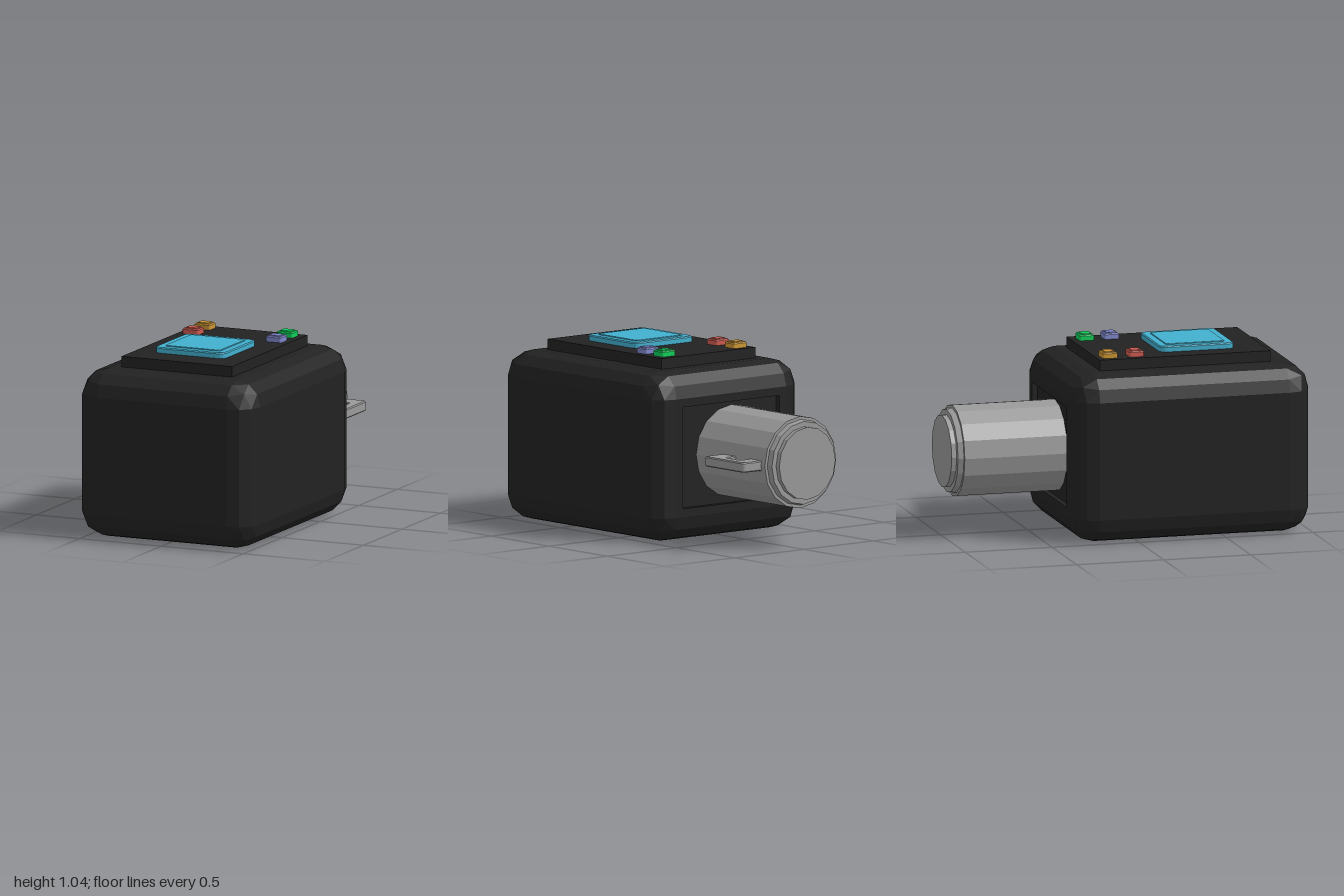
import * as THREE from 'three';
import { ConvexGeometry } from 'three/addons/geometries/ConvexGeometry.js';

const paint = (name, color) => {
  const m = new THREE.MeshStandardMaterial({ color });
  m.name = name;
  return m;
};

function rectPath(Type, x0, x1, y0, y1, r = 0) {
  const s = new Type();
  if (!r) {
    s.moveTo(x0, y0).lineTo(x1, y0).lineTo(x1, y1).lineTo(x0, y1).closePath();
    return s;
  }
  s.moveTo(x0 + r, y0).lineTo(x1 - r, y0).quadraticCurveTo(x1, y0, x1, y0 + r);
  s.lineTo(x1, y1 - r).quadraticCurveTo(x1, y1, x1 - r, y1);
  s.lineTo(x0 + r, y1).quadraticCurveTo(x0, y1, x0, y1 - r);
  s.lineTo(x0, y0 + r).quadraticCurveTo(x0, y0, x0 + r, y0);
  return s;
}

// Flat-faceted geometry
function faceted(geometry) {
  const g = geometry.index ? geometry.toNonIndexed() : geometry;
  g.computeVertexNormals();
  return g;
}

// Horizontal plate: outline drawn in x and -z, from y0 to y1, with a small bevel
function slab(shape, y0, y1, bevel) {
  const g = new THREE.ExtrudeGeometry(shape, {
    depth: y1 - y0 - 2 * bevel, bevelThickness: bevel, bevelSize: bevel,
    bevelOffset: -bevel, bevelSegments: 1, curveSegments: 4,
  });
  return g.rotateX(-Math.PI / 2).translate(0, y0 + bevel, 0);
}

// Box hull with three-segment rounded edges
function roundedHull(w, h, d, r) {
  const points = [];
  const part = (n) => Math.sin((n * Math.PI) / 6);
  for (const sx of [-1, 1]) for (const sy of [-1, 1]) for (const sz of [-1, 1])
    for (let i = 0; i <= 3; i++) for (let j = 0; j <= 3 - i; j++) {
      const n = new THREE.Vector3(part(i), part(j), part(3 - i - j)).setLength(r);
      points.push(new THREE.Vector3(
        sx * (w / 2 - r + n.x), sy * (h / 2 - r + n.y), sz * (d / 2 - r + n.z)));
    }
  return new ConvexGeometry(points);
}

// Drop the triangles lying on the plane z = z0
function openBack(geometry, z0) {
  const p = geometry.attributes.position;
  const kept = [];
  for (let i = 0; i < p.count; i += 3) {
    if ([0, 1, 2].every((k) => Math.abs(p.getZ(i + k) - z0) < 1e-4)) continue;
    for (let k = 0; k < 3; k++) kept.push(p.getX(i + k), p.getY(i + k), p.getZ(i + k));
  }
  const g = new THREE.BufferGeometry();
  g.setAttribute('position', new THREE.Float32BufferAttribute(kept, 3));
  g.computeVertexNormals();
  return g;
}

export function createModel() {
  const black = paint('black casing', 0x222222);
  const grey = paint('grey metal', 0x999999);
  const blue = paint('screen blue', 0x42b0ce);
  const model = new THREE.Group();
  const add = (name, geometry, material, parent = model) => {
    const mesh = new THREE.Mesh(geometry, material);
    mesh.name = name;
    parent.add(mesh);
    return mesh;
  };

  // Casing with a shallow rectangular recess in its back
  const W = 1.074, H = 0.946, D = 1.376, R = 0.142, back = -0.376;
  const rx = 0.348, ry = 0.284, depth = 0.03;
  const casing = new THREE.Group();
  casing.name = 'casing';
  casing.position.set(0, H / 2, back + D / 2);
  model.add(casing);
  add('casingShell', openBack(roundedHull(W, H, D, R), -D / 2), black, casing);
  const fx = W / 2 - R, fy = H / 2 - R;
  const frame = rectPath(THREE.Shape, -fx, fx, -fy, fy);
  frame.holes.push(rectPath(THREE.Path, -rx, rx, -ry, ry));
  add('backFrame', new THREE.ShapeGeometry(frame).rotateY(Math.PI).translate(0, 0, -D / 2), black, casing);
  const tray = new THREE.BoxGeometry(2 * rx, 2 * ry, depth);
  tray.setIndex([...tray.index.array].slice(0, 30)); // leave the back side open
  tray.scale(-1, 1, 1).translate(0, 0, -D / 2 + depth / 2); // mirrored to face inward
  add('backRecess', faceted(tray), black, casing);

  // Control panel on top
  add('controlPanel', new THREE.BoxGeometry(0.676, 0.08, 0.98).translate(0, 0.966, 0.31), black);

  // Stepped pads: a bevelled base with a slightly raised centre
  function pad(name, material, x, z, w, d, r, inset) {
    const group = new THREE.Group();
    group.name = name;
    group.position.set(x, 1.0, z);
    model.add(group);
    add(name + 'Base', slab(rectPath(THREE.Shape, -w / 2, w / 2, -d / 2, d / 2, r), 0, 0.038, 0.006), material, group);
    const a = w / 2 - inset, b = d / 2 - inset;
    add(name + 'Top', slab(rectPath(THREE.Shape, -a, a, -b, b, r / 2), 0.03, 0.043, 0.002), material, group);
  }
  pad('screen', blue, -0.007, 0.415, 0.428, 0.428, 0.045, 0.045);
  const buttons = [
    ['redButton', 0xcc5a50, -0.256, 0.043],
    ['orangeButton', 0xcc9633, -0.256, -0.11],
    ['greenButton', 0x0fcf5a, 0.252, -0.1],
    ['violetButton', 0x8088cc, 0.252, 0.043],
  ];
  for (const [name, color, x, z] of buttons)
    pad(name, paint(name + ' colour', color), x, z, 0.096, 0.084, 0.01, 0.014);

  // Sixteen-sided barrel with stepped end
  const barrel = new THREE.Group();
  barrel.name = 'barrel';
  barrel.position.set(-0.025, 0.478, 0);
  model.add(barrel);
  const steps = [
    ['barrelTube', 0.257, 0.257, -0.35, -0.94],
    ['barrelRim', 0.242, 0.232, -0.93, -0.972],
    ['barrelCap', 0.203, 0.203, -0.96, -1.0],
  ];
  for (const [name, rNear, rFar, z0, z1] of steps) {
    const g = new THREE.CylinderGeometry(rFar, rNear, z0 - z1, 16);
    add(name, faceted(g.rotateX(-Math.PI / 2).translate(0, 0, (z0 + z1) / 2)), grey, barrel);
  }

  // Side handle, a rounded flat loop
  const loop = rectPath(THREE.Shape, 0.2, 0.359, 0.57, 0.907, 0.022);
  loop.holes.push(rectPath(THREE.Path, 0.215, 0.3, 0.685, 0.81, 0.022));
  add('handle', slab(loop, 0.45, 0.506, 0.006), grey);

  return model;
}
